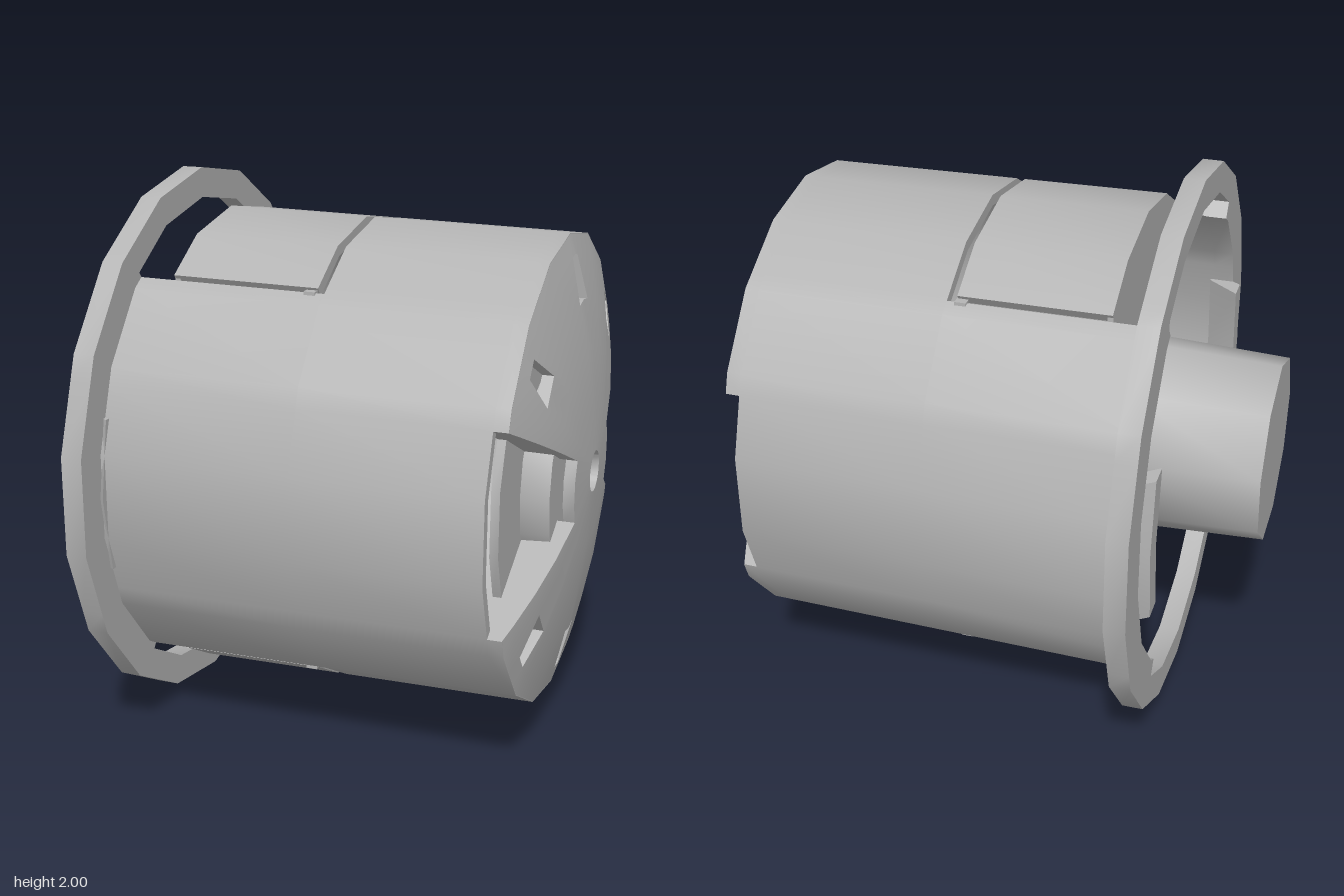
import * as THREE from 'three';
import { toCreasedNormals } from 'three/addons/utils/BufferGeometryUtils.js';

const RAD = Math.PI / 180;
const STEP = 20; // the housing is an 18-sided drum lying along x

// radius of the 18-sided outline at angle a (degrees from the top)
const poly = (r, a) => {
  const m = ((a % STEP) + STEP) % STEP;
  return r * Math.cos(10 * RAD) / Math.cos((m - 10) * RAD);
};
const at = (x, r, a) => new THREE.Vector3(x, 1 + poly(r, a) * Math.cos(a * RAD), poly(r, a) * Math.sin(a * RAD));
const wallR = (x) => 0.865 - 0.014 * (x + 0.45);      // tapered outer wall
const domeX = (r) => 0.945 - 0.125 * (r / 0.845) ** 2; // bulged end face
const ascending = (list) => [...new Set(list)].sort((p, q) => p - q);
const vertexAngles = Array.from({ length: 19 }, (_, i) => i * STEP);
const span = (a0, a1) => ascending([a0, a1, ...Array.from({ length: 60 }, (_, i) => (i - 20) * STEP).filter((a) => a > a0 && a < a1)]);

// solid made from a grid of cells between an inner (k=0) and outer (k=1) surface; skipped cells are holes
function gridSolid(nu, nv, P, skip = () => false, wrap = false) {
  const has = (i, j) => {
    if (wrap) i = (i + nu) % nu;
    return i >= 0 && i < nu && j >= 0 && j < nv && !skip(i, j);
  };
  const tris = [];
  let sign = 0;
  const quad = (a, b, c, d) => tris.push([a, b, c], [a, c, d]);
  for (let i = 0; i < nu; i++) for (let j = 0; j < nv; j++) {
    if (!has(i, j)) continue;
    const ring = [[i, j], [i + 1, j], [i + 1, j + 1], [i, j + 1]];
    const lo = ring.map(([u, v]) => P(u, v, 0));
    const hi = ring.map(([u, v]) => P(u, v, 1));
    const n = hi[2].clone().sub(hi[0]).cross(hi[3].clone().sub(hi[1]));
    sign += n.dot(hi[0].clone().sub(lo[0]));
    quad(...hi);
    quad(lo[3], lo[2], lo[1], lo[0]);
    [[i, j - 1], [i + 1, j], [i, j + 1], [i - 1, j]].forEach(([u, v], s) => {
      const t = (s + 1) % 4;
      if (!has(u, v)) quad(lo[s], lo[t], hi[t], hi[s]);
    });
  }
  const pos = [];
  for (const [a, b, c] of tris) for (const p of sign > 0 ? [a, b, c] : [a, c, b]) pos.push(p.x, p.y, p.z);
  const g = new THREE.BufferGeometry();
  g.setAttribute('position', new THREE.Float32BufferAttribute(pos, 3));
  return toCreasedNormals(g, 0.6);
}

export function createModel() {
  const group = new THREE.Group();
  const grey = new THREE.MeshStandardMaterial({ color: 0xb4b4b4 });
  grey.name = 'plain grey';
  const add = (name, geometry) => {
    const m = new THREE.Mesh(geometry, grey);
    m.name = name;
    group.add(m);
    return m;
  };

  // angular regions: slots at top and bottom, windows at both sides
  const SLOT = 36.3, PANEL = 34.7, WIN = 25;
  const offset = (a, c) => Math.abs(((a - c + 540) % 360) - 180);
  const inSlot = (a) => Math.min(offset(a, 0), offset(a, 180)) < SLOT;
  const inWindow = (a) => Math.min(offset(a, 90), offset(a, 270)) < WIN;
  const cols = ascending([...vertexAngles, SLOT, 180 - SLOT, 180 + SLOT, 360 - SLOT,
    90 - WIN, 90 + WIN, 270 - WIN, 270 + WIN]);
  const n = cols.length - 1;
  const mid = (i) => (cols[i] + cols[i + 1]) / 2;

  // drum wall with slots and window notches
  const xs = [-0.57, 0.11, 0.77, 0.82];
  add('drumWall', gridSolid(n, 3, (i, j, k) => at(xs[j], wallR(xs[j]) - (k ? 0 : 0.04), cols[i]),
    (i, j) => (j === 0 && inSlot(mid(i))) || (j === 2 && inWindow(mid(i))), true));

  // flange, open in front of the slots
  const fr = [0.825, 0.89, 1];
  add('flange', gridSolid(n, 2, (i, j, k) => at(k ? -0.565 : -0.64, fr[j], cols[i]),
    (i, j) => j === 0 && inSlot(mid(i)), true));

  // domed end with six tapered holes, a centre hole and two sector windows
  const holes = [0, 48, 132, 180, 228, 312];
  const lines = vertexAngles.slice(0, 18).filter((a) => holes.every((h) => offset(a, h) > 6))
    .map((a) => ({ a, w: 0 }));
  for (const a of [65, 115, 245, 295]) lines.push({ a, w: 0 });
  for (const h of holes) for (const s of [-1, 0, 1]) lines.push({ a: h, w: s });
  const angle = (l, r) => l.a + l.w * (r <= 0.62 ? 5.5 : r >= 0.77 ? 2.7 : 4);
  lines.sort((p, q) => angle(p, 0) - angle(q, 0));
  const dn = lines.length;
  const rings = [0.075, 0.27, 0.45, 0.62, 0.775, wallR(0.82)];
  const line = (i) => lines[i % dn];
  add('domedEnd', gridSolid(dn, 5, (i, j, k) => {
    const r = rings[j];
    return at(domeX(r) - (k ? 0 : 0.04), r, angle(line(i), r));
  }, (i, j) => {
    const p = line(i), q = line(i + 1);
    const m = (p.a + q.a + (i === dn - 1 ? 360 : 0)) / 2;
    return (j === 3 && p.a === q.a) || (j > 0 && inWindow(m));
  }, true));

  // bulkhead behind the domed end, open at the outer edge of each window
  const br = [0, 0.66, 0.815];
  add('bulkhead', gridSolid(n, 2, (i, j, k) => at(k ? 0.77 : 0.74, br[j], cols[i]),
    (i, j) => j === 1 && inWindow(mid(i)), true));

  // radial walls beside the windows
  const wr = [0.27, 0.45, 0.62, 0.82];
  for (const c of [90, 270]) for (const s of [-1, 1]) {
    add('windowSideWall', gridSolid(3, 1, (i, j, k) => {
      const r = wr[i];
      return at(j ? domeX(r) - 0.01 : 0.75, r, c + s * (WIN + (k ? 1.5 : 0)));
    }));
  }

  // inner hub seen through the windows
  const hub = new THREE.CylinderGeometry(0.375, 0.385, 0.11, 18);
  hub.rotateZ(-Math.PI / 2);
  add('innerHub', toCreasedNormals(hub, 0.6)).position.set(0.815, 1, 0);

  // rear boss, nine-sided and slightly tapered
  const boss = new THREE.CylinderGeometry(0.36, 0.34, 0.51, 9);
  boss.rotateY(-Math.PI / 2);
  boss.rotateZ(-Math.PI / 2);
  add('rearBoss', toCreasedNormals(boss, 0.75)).position.set(-0.695, 1, 0);

  // spring panels in the slots, with small bridges to the wall
  for (const c of [0, 180]) {
    const arc = span(c - PANEL, c + PANEL);
    const px = [-0.45, 0.08];
    add('slotPanel', gridSolid(arc.length - 1, 1,
      (i, j, k) => at(px[j], wallR(px[j]) - (k ? 0 : 0.04), arc[i])));
    for (const s of [-1, 1]) {
      add('panelBridge', new THREE.BoxGeometry(0.04, 0.03, 0.03))
        .position.set(0.06, 1 + (c ? -1 : 1) * 0.675, s * 0.5);
    }
  }

  // plate joining the boss to both panels
  const pa = span(-PANEL, PANEL);
  add('bossPlate', gridSolid(pa.length - 1, 1, (i, j, k) => {
    const p = at(k ? -0.43 : -0.45, 0.85, pa[i]);
    if (!j) p.y = 2 - p.y;
    return p;
  }));

  // ramped catches crossing the flange at both sides
  const catchArc = [-19, 0, 19];
  for (const s of [-1, 1]) {
    const cx = [-0.67, -0.55];
    add('sideCatch', gridSolid(2, 1, (i, j, k) => {
      const r = k ? (j ? 0.88 : 0.79) : (j ? 0.8 : 0.7);
      const a = catchArc[i] * RAD;
      return new THREE.Vector3(cx[j], 1 + 0.27 * Math.sign(a), s * r * Math.cos(a));
    }));
  }
  return group;
}
